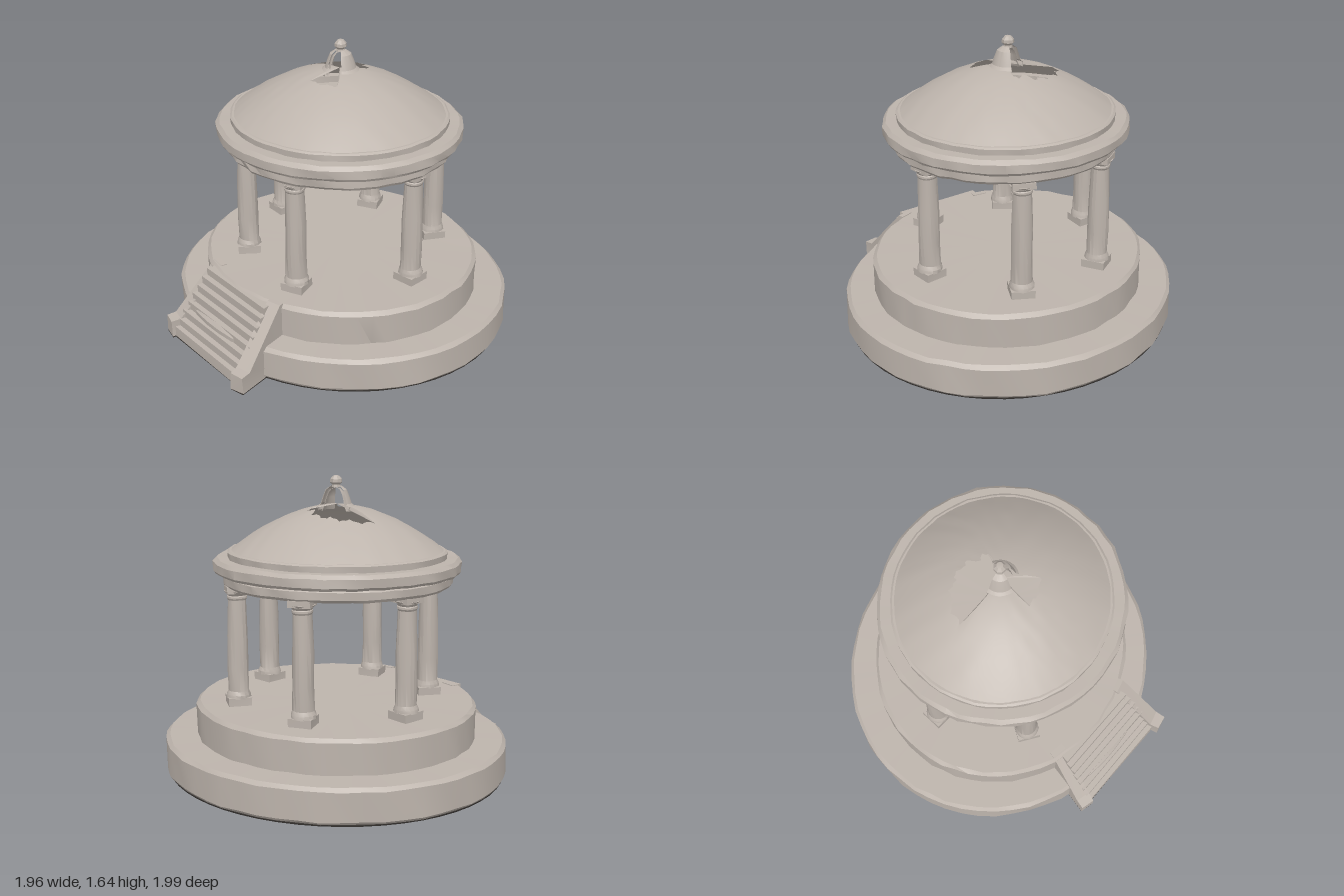
import * as THREE from 'three';
import { toCreasedNormals } from 'three/addons/utils/BufferGeometryUtils.js';

const stone = new THREE.MeshStandardMaterial({ color: 0xbdb4ac, side: THREE.DoubleSide });
stone.name = 'weatheredStone';
const darkStone = new THREE.MeshStandardMaterial({ color: 0x3e3a37, side: THREE.DoubleSide });
darkStone.name = 'darkUnderside';

// Uneven, chiselled surface: shift every vertex by a rule of its own position
function chip(geo, amount) {
  const p = geo.attributes.position;
  const wave = (a, b, c) => Math.sin(a * 37 + b * 23 + 1) * Math.sin(b * 41 + c * 29 + 2);
  for (let i = 0; i < p.count; i++) {
    const x = p.getX(i), y = p.getY(i), z = p.getZ(i);
    p.setXYZ(i, x + amount * wave(x, y, z), y + amount * 0.4 * wave(z, x, y), z + amount * wave(y, z, x));
  }
  return geo;
}

function add(parent, name, geo, amount = 0, material = stone) {
  if (amount) chip(geo, amount);
  const mesh = new THREE.Mesh(toCreasedNormals(geo, 0.4), material);
  mesh.name = name;
  parent.add(mesh);
}

function lathe(profile, segments = 56, start = 0, length = Math.PI * 2) {
  return new THREE.LatheGeometry(profile.map(([r, y]) => new THREE.Vector2(r, y)), segments, start, length);
}

// Slightly oval round part, centred at depth z
function round(parent, name, profile, z, depthScale, amount, material) {
  const geo = lathe(profile);
  geo.scale(1, 1, depthScale);
  geo.translate(0, 0, z);
  add(parent, name, geo, amount, material);
}

const disc = (r, y0, y1) => [
  [0, y0], [r - 0.012, y0], [r, y0 + 0.015], [r, y1 - 0.02], [r - 0.02, y1], [0, y1],
];

// Plan outline of [x, z] points raised from y = 0 to the given height
function slab(points, height) {
  const shape = new THREE.Shape(points.map(([x, z]) => new THREE.Vector2(x, -z)));
  const geo = new THREE.ExtrudeGeometry(shape, { depth: height, bevelEnabled: false });
  geo.rotateX(-Math.PI / 2);
  return geo;
}

function makeColumn(x, z) {
  const column = new THREE.Group();
  column.name = 'column';
  const plinth = new THREE.BoxGeometry(0.13, 0.05, 0.13);
  plinth.translate(0, 0.41, 0);
  add(column, 'plinth', plinth, 0.004);
  add(column, 'shaft', lathe([
    [0, 0.42], [0.069, 0.43], [0.067, 0.45], [0.058, 0.47], [0.058, 0.6], [0.056, 0.78],
    [0.05, 0.98], [0.056, 0.99], [0.056, 1.0], [0.052, 1.005], [0.068, 1.03], [0, 1.04],
  ], 16), 0.003);
  const cap = new THREE.BoxGeometry(0.12, 0.035, 0.12);
  cap.translate(0, 1.038, 0);
  add(column, 'capital', cap, 0.004);
  column.position.set(x, 0, z);
  column.rotation.y = Math.atan2(x, z + 0.06);
  return column;
}

// Side wall of the stair from plan point a to b: a long slope down to a low end post
function makeStairWall(parent, name, a, b) {
  const dx = b[0] - a[0], dz = b[1] - a[1], length = Math.hypot(dx, dz), width = 0.085;
  const outline = (points) => new THREE.Shape(points.map(([u, v]) => new THREE.Vector2(u, v)));
  const place = (shape) => {
    const geo = new THREE.ExtrudeGeometry(shape, { depth: width, bevelEnabled: false });
    geo.translate(0, 0, -width / 2);
    geo.rotateY(Math.atan2(-dz, dx));
    geo.translate(a[0], 0, a[1]);
    return geo;
  };
  add(parent, name, place(outline([
    [0, 0.006], [length, 0.006], [length, 0.105], [length - 0.055, 0.112], [0.03, 0.393], [0, 0.393],
  ])), 0.004);
  add(parent, name + 'Underside', place(outline([[0, 0], [length, 0], [length, 0.006], [0, 0.006]])), 0, darkStone);
}

// Inner radius of the broken dome at an angle measured from the front
function holeRadius(angle) {
  const deg = ((angle * 180 / Math.PI) % 360 + 360) % 360;
  const jag = 0.012 * Math.sin(deg * 0.3) + 0.007 * Math.sin(deg * 0.8);
  if (deg > 339 || deg < 33) return 0.2 + jag * 0.5;
  if (deg > 140 && deg < 170) return 0.17 + jag;
  if (deg >= 170 && deg < 254) return 0.21 + 0.11 * (deg - 170) / 84 + jag;
  return 0;
}

function makeDome() {
  const radii = [0.605, 0.55, 0.48, 0.41, 0.34, 0.27, 0.2, 0.13, 0.06, 0];
  const geo = lathe(radii.map((r) => [r, 0]), 96);
  const p = geo.attributes.position;
  for (let i = 0; i < p.count; i++) {
    // Angle comes from the column index, so it also holds at the centre
    const angle = Math.floor(i / radii.length) / 96 * Math.PI * 2;
    const r = Math.max(radii[i % radii.length], holeRadius(angle));
    p.setXYZ(i, r * Math.sin(angle), 1.487 - 0.643 * Math.pow(r, 1.81), r * Math.cos(angle) * 0.97 - 0.06);
  }
  return geo;
}

export function createModel() {
  const model = new THREE.Group();
  model.name = 'roundPavilion';

  // Two stepped platforms on a dark underside
  round(model, 'underside', [[0, 0], [0.968, 0], [0.972, 0.009], [0, 0.009]], -0.09, 0.93, 0, darkStone);
  round(model, 'lowerPlatform', disc(0.98, 0.008, 0.2), -0.09, 0.93, 0.006);
  round(model, 'upperPlatform', disc(0.8, 0.18, 0.39), -0.077, 0.938, 0.006);

  // Six columns
  [[0.08, 0.47], [0.545, 0.04], [0.39, -0.47], [-0.13, -0.6], [-0.535, -0.23], [-0.4, 0.28]]
    .forEach(([x, z]) => model.add(makeColumn(x, z)));

  // Stair, widening towards the ground
  const stair = new THREE.Group();
  stair.name = 'stair';
  model.add(stair);
  const mix = (a, b, t) => [a[0] + (b[0] - a[0]) * t, a[1] + (b[1] - a[1]) * t];
  const left = [[0.06, 0.63], [0.05, 0.955]], right = [[-0.43, 0.49], [-0.565, 0.785]];
  const tread = (t0, t1) => [mix(...right, t0), mix(...right, t1), mix(...left, t1), mix(...left, t0)];
  const steps = 8;
  for (let i = 0; i < steps; i++) {
    const t0 = i ? 0.2 + 0.8 * i / steps : 0;
    const geo = slab(tread(t0, 0.2 + 0.8 * (i + 1) / steps), 0.372 - 0.31 * i / (steps - 1));
    geo.translate(0, 0.006, 0);
    add(stair, 'step', geo, 0.004);
  }
  add(stair, 'stairUnderside', slab(tread(0.6, 1), 0.006), 0, darkStone);
  makeStairWall(stair, 'leftStairWall', [0.08, 0.645], [0.065, 0.99]);
  makeStairWall(stair, 'rightStairWall', [-0.43, 0.485], [-0.592, 0.785]);

  // Entablature with a flat ceiling, cornice and the curb under the dome
  round(model, 'ceilingBeam', disc(0.64, 1.05, 1.125), -0.057, 0.97, 0.006);
  round(model, 'cornice', disc(0.69, 1.12, 1.2), -0.06, 0.97, 0.006);
  round(model, 'domeCurb', [
    [0.54, 1.19], [0.61, 1.19], [0.612, 1.232], [0.6, 1.24], [0.54, 1.24], [0.54, 1.19],
  ], -0.06, 0.97, 0.004);

  // Broken dome
  add(model, 'dome', makeDome(), 0.003);

  // Two surviving pieces of the lantern, with the finial above
  const lantern = new THREE.Group();
  lantern.name = 'lantern';
  lantern.position.z = -0.07;
  model.add(lantern);
  const rad = Math.PI / 180;
  const shell = [
    [0.1, 1.45], [0.103, 1.475], [0.085, 1.49], [0.072, 1.53], [0.058, 1.565], [0.03, 1.585], [0, 1.588],
    [0, 1.575], [0.025, 1.57], [0.043, 1.55], [0.055, 1.52], [0.066, 1.48], [0.08, 1.45],
  ];
  add(lantern, 'lanternLeftPiece', lathe(shell, 14, 38 * rad, 102 * rad));
  add(lantern, 'lanternRightPiece', lathe(shell, 12, 254 * rad, 83 * rad));
  add(lantern, 'finial', lathe([
    [0, 1.575], [0.025, 1.578], [0.022, 1.592], [0.034, 1.605], [0.033, 1.622], [0.018, 1.64], [0, 1.643],
  ], 8));

  return model;
}
